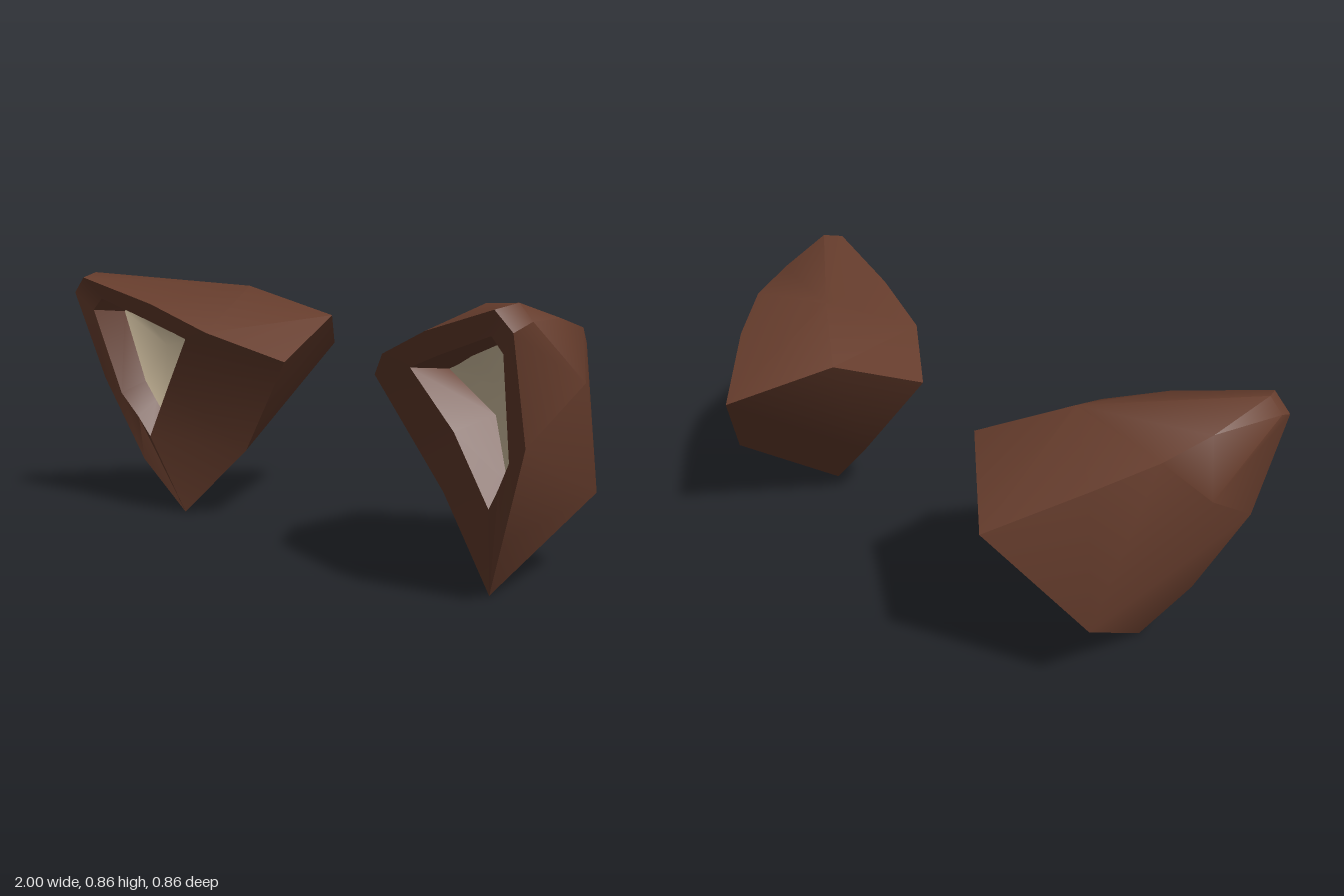
import * as THREE from 'three';
import { toCreasedNormals } from 'three/addons/utils/BufferGeometryUtils.js';

// Corner points of the left ear; the right ear is its mirror image
const P = {
  // base ring, where the ear meets the head
  A: [0.21, 0.585, 0.13], B: [0.31, 0.715, -0.18], C: [0.563, 0.58, -0.43],
  D: [0.80, 0.255, -0.215], E: [0.713, 0, 0.17], F: [0.462, 0.25, 0.09],
  // top crest, back ridge from base to tip, and swelling of the outer side
  crest: [0.54, 0.815, 0],
  ridge1: [0.76, 0.70, -0.20], ridge2: [0.87, 0.765, -0.03], ridge3: [0.92, 0.805, 0.14],
  bulge: [0.97, 0.63, 0.09],
  // blunt tip
  tipBack: [0.955, 0.86, 0.36], tipSide: [1, 0.815, 0.36],
  tipFront: [0.93, 0.845, 0.428], tipLow: [0.99, 0.79, 0.425],
  // front rim
  side1: [0.96, 0.48, 0.33], side2: [0.83, 0.19, 0.26],
  top1: [0.41, 0.68, 0.30], top2: [0.63, 0.765, 0.36],
};

const rim = ['E', 'side2', 'side1', 'tipLow', 'tipFront', 'top2', 'top1', 'A', 'F'].map(k => P[k]);

// Edge of the opening and edge of the lining, matching the rim point by point
const opening = [
  [0.785, 0.28, 0.265], [0.83, 0.345, 0.28], [0.89, 0.43, 0.31],
  [0.93, 0.73, 0.39], [0.885, 0.772, 0.385], [0.66, 0.70, 0.335],
  [0.56, 0.665, 0.31], [0.52, 0.65, 0.30], [0.66, 0.48, 0.27],
];
const lining = [
  [0.79, 0.34, 0.19], [0.82, 0.40, 0.21], [0.855, 0.47, 0.23],
  [0.90, 0.72, 0.28], [0.865, 0.757, 0.27], [0.68, 0.69, 0.22],
  [0.60, 0.655, 0.19], [0.56, 0.64, 0.18], [0.71, 0.52, 0.15],
];
const liningBottom = [0.78, 0.6, 0.185];

const shellFaces = [
  // top
  'A top1 B', 'top1 crest B', 'top1 top2 crest', 'top2 tipFront crest', 'tipFront tipBack crest',
  'B crest C', 'crest ridge1 C', 'crest ridge2 ridge1', 'crest ridge3 ridge2', 'crest tipBack ridge3',
  // tip
  'tipFront tipLow tipSide', 'tipFront tipSide tipBack', 'tipBack tipSide ridge3',
  // outer side
  'ridge3 tipSide bulge', 'ridge2 ridge3 bulge', 'bulge tipSide tipLow', 'bulge tipLow side1',
  'ridge2 bulge side1', 'ridge2 side1 D', 'side1 side2 D', 'side2 E D', 'ridge1 ridge2 D', 'ridge1 D C',
  // base
  'F A B', 'F B C', 'F C D', 'F D E',
].map(f => f.split(' ').map(k => P[k]));

// Triangles between two loops of equal length
function strip(outer, inner) {
  const tris = [];
  outer.forEach((p, i) => {
    const j = (i + 1) % outer.length;
    tris.push([p, outer[j], inner[j]], [p, inner[j], inner[i]]);
  });
  return tris;
}

// Triangles between a loop and one point
function fan(loop, centre) {
  return loop.map((p, i) => [p, loop[(i + 1) % loop.length], centre]);
}

// Mesh from triangles; side = -1 mirrors in x and reverses the corners
function trisMesh(name, tris, side, material, crease) {
  const pos = [];
  for (const [a, b, c] of tris) {
    for (const p of side > 0 ? [a, b, c] : [a, c, b]) pos.push(p[0] * side, p[1], p[2]);
  }
  const geo = new THREE.BufferGeometry();
  geo.setAttribute('position', new THREE.Float32BufferAttribute(pos, 3));
  const mesh = new THREE.Mesh(toCreasedNormals(geo, crease), material);
  mesh.name = name;
  return mesh;
}

export function createModel() {
  const brown = new THREE.MeshStandardMaterial({ color: 0x653c2c });
  brown.name = 'brown fur';
  const cream = new THREE.MeshStandardMaterial({ color: 0xd6c4a4 });
  cream.name = 'cream lining';

  const model = new THREE.Group();
  model.name = 'ears';
  for (const side of [1, -1]) {
    const ear = new THREE.Group();
    ear.name = side > 0 ? 'leftEar' : 'rightEar';
    ear.add(
      trisMesh('earShell', shellFaces, side, brown, 0.85),
      trisMesh('earFront', strip(rim, opening), side, brown, 0.6),
      trisMesh('openingWall', strip(opening, lining), side, brown, 0.6),
      trisMesh('earLining', fan(lining, liningBottom), side, cream, 1),
    );
    model.add(ear);
  }
  return model;
}
